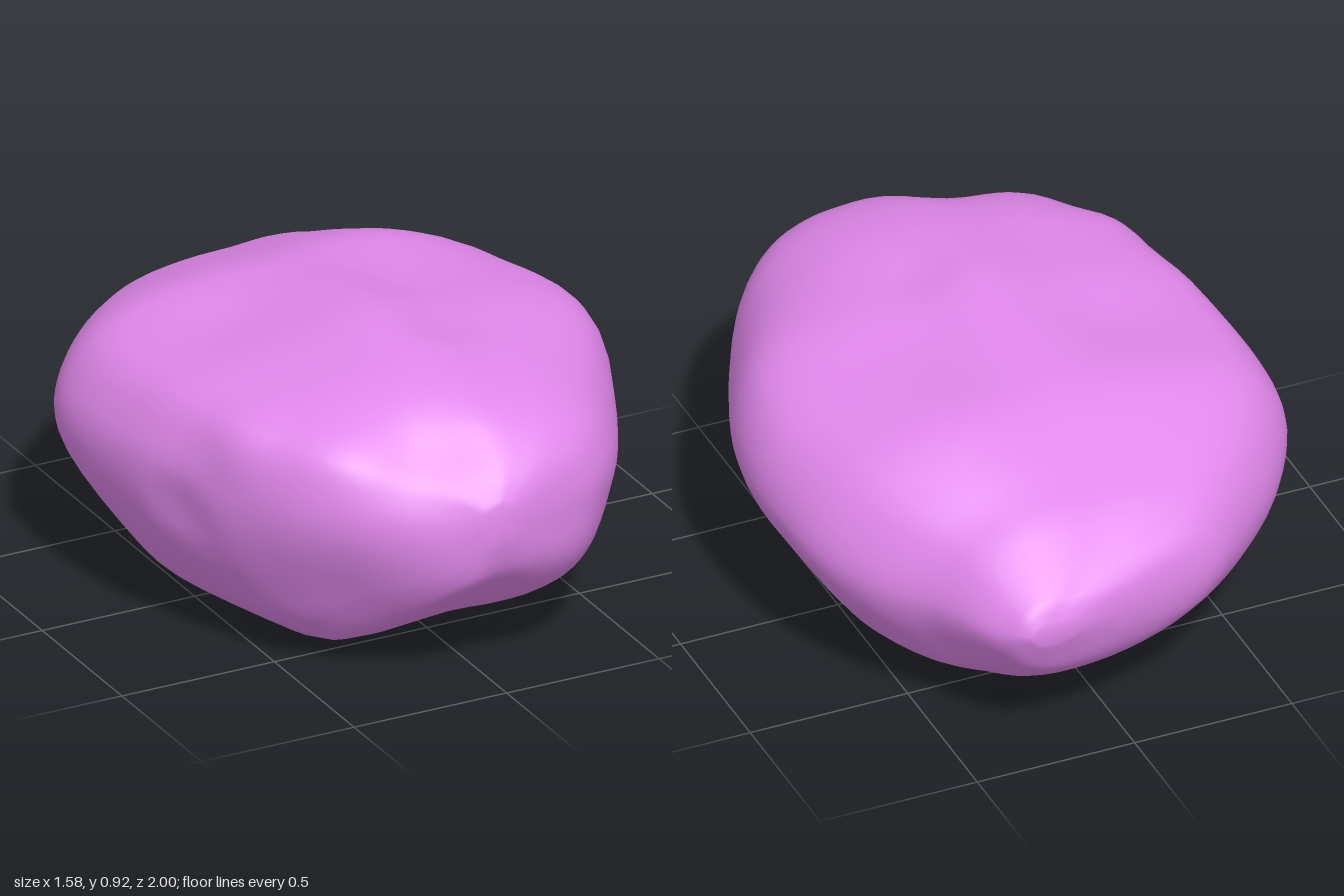
import * as THREE from 'three';

// Stations from back to front: z, left x, right x, bottom y, top y
const STATIONS = [
  [-1, 0.18, 0.32, 0.42, 0.48],
  [-0.975, 0.05, 0.36, 0.36, 0.535],
  [-0.94, -0.10, 0.39, 0.29, 0.57],
  [-0.88, -0.30, 0.43, 0.23, 0.62],
  [-0.78, -0.43, 0.48, 0.155, 0.69],
  [-0.68, -0.54, 0.535, 0.105, 0.735],
  [-0.55, -0.66, 0.64, 0.06, 0.79],
  [-0.38, -0.76, 0.73, 0.037, 0.85],
  [-0.2, -0.79, 0.77, 0.02, 0.875],
  [0, -0.78, 0.785, 0.006, 0.90],
  [0.2, -0.75, 0.75, 0.004, 0.92],
  [0.4, -0.68, 0.67, 0.03, 0.905],
  [0.55, -0.61, 0.60, 0.05, 0.885],
  [0.7, -0.53, 0.52, 0.12, 0.855],
  [0.82, -0.42, 0.43, 0.21, 0.81],
  [0.91, -0.28, 0.32, 0.30, 0.74],
  [0.97, -0.14, 0.16, 0.38, 0.67],
  [1, -0.06, 0.04, 0.49, 0.60],
];

// Normalised outlines, from the left side over the top to the right and under
const BACK = [[-1, 0.15], [-0.95, 0.45], [-0.83, 0.7], [-0.66, 0.84], [-0.34, 0.94], [0, 0.97], [0.27, 1],
  [0.52, 0.95], [0.78, 0.74], [0.92, 0.46], [1, 0.1], [0.96, -0.2], [0.84, -0.52], [0.72, -0.76],
  [0.55, -0.92], [0.3, -1], [-0.1, -0.95], [-0.5, -0.75], [-0.72, -0.55], [-0.84, -0.4], [-0.96, -0.13]];
const MIDDLE = [[-1, 0.2], [-0.95, 0.44], [-0.85, 0.66], [-0.66, 0.77], [-0.34, 0.87], [-0.02, 1], [0.25, 0.88],
  [0.52, 0.86], [0.78, 0.75], [0.92, 0.58], [1, 0.2], [0.95, -0.1], [0.78, -0.5], [0.7, -0.8],
  [0.56, -0.96], [0.3, -1], [-0.05, -0.97], [-0.56, -0.95], [-0.76, -0.77], [-0.86, -0.55], [-0.97, -0.17]];
const FRONT = [[-1, 0.15], [-0.96, 0.45], [-0.87, 0.68], [-0.68, 0.82], [-0.34, 0.93], [-0.02, 1], [0.27, 0.94],
  [0.54, 0.86], [0.78, 0.7], [0.92, 0.48], [1, 0.15], [0.95, -0.18], [0.85, -0.5], [0.72, -0.7],
  [0.55, -0.83], [0.3, -0.92], [-0.05, -0.93], [-0.54, -1], [-0.75, -0.8], [-0.86, -0.55], [-0.97, -0.15]];

// Dents and (negative depth) bumps: x, y, z, radius, depth
const DENTS = [
  [0.70, 0.30, -0.14, 0.1, 0.01],
  [-0.35, 0.85, -0.1, 0.13, 0.015],
  [0.10, 0.90, 0.3, 0.1, 0.015],
  [-0.70, 0.45, 0.3, 0.09, 0.025],
  [0.02, 0.04, 0.45, 0.1, 0.02],
  [-0.20, 0.76, 0.9, 0.2, 0.07],
  [-0.60, 0.72, 0.47, 0.12, -0.03],
  [-0.35, 0.25, 0.75, 0.2, 0.04],
  [0.25, 0.28, 0.82, 0.18, -0.03],
  [-0.60, 0.12, 0.25, 0.15, 0.02],
];

const AROUND = 63;
const SUBSTEPS = 3;

function outline(points) {
  const curve = new THREE.CatmullRomCurve3(points.map(([x, y]) => new THREE.Vector3(x, y, 0)), true);
  return Array.from({ length: AROUND }, (_, j) => curve.getPoint(j / AROUND));
}

function station(t) {
  const i = Math.min(Math.floor(t), STATIONS.length - 2);
  const at = (k) => STATIONS[THREE.MathUtils.clamp(k, 0, STATIONS.length - 1)];
  const f = t - i;
  return at(i).map((p1, c) => {
    const p0 = at(i - 1)[c], p2 = at(i + 1)[c], p3 = at(i + 2)[c];
    return p1 + 0.5 * f * (p2 - p0 + f * (2 * p0 - 5 * p1 + 4 * p2 - p3 + f * (3 * (p1 - p2) + p3 - p0)));
  });
}

function stoneGeometry() {
  const back = outline(BACK), middle = outline(MIDDLE), front = outline(FRONT);
  const rows = (STATIONS.length - 1) * SUBSTEPS + 1;
  const positions = [], index = [];
  const centre = new THREE.Vector3(0, 0.46, 0);

  // Rings of the stone, blending the three outlines along z
  for (let i = 0; i < rows; i++) {
    const [z, x0, x1, y0, y1] = station(i / SUBSTEPS);
    const toMiddle = THREE.MathUtils.smoothstep(z, -0.5, 0.05);
    const toFront = THREE.MathUtils.smoothstep(z, 0.2, 0.6);
    for (let j = 0; j < AROUND; j++) {
      const s = back[j].clone().lerp(middle[j], toMiddle).lerp(front[j], toFront);
      const p = new THREE.Vector3((x0 + x1 + s.x * (x1 - x0)) / 2, (y0 + y1 + s.y * (y1 - y0)) / 2, z);
      const inward = centre.clone().sub(p).normalize();
      for (const [dx, dy, dz, r, depth] of DENTS) {
        const d2 = (p.x - dx) ** 2 + (p.y - dy) ** 2 + (p.z - dz) ** 2;
        p.addScaledVector(inward, depth * Math.exp(-d2 / (r * r)));
      }
      positions.push(p.x, Math.max(p.y, 0), p.z);
    }
  }
  for (let i = 0; i < rows - 1; i++) {
    for (let j = 0; j < AROUND; j++) {
      const k = (j + 1) % AROUND;
      const a = i * AROUND + j, b = i * AROUND + k, c = a + AROUND, d = b + AROUND;
      index.push(a, c, b, b, c, d);
    }
  }

  // Close both ends with a fan around the mean of the end ring
  for (const end of [0, rows - 1]) {
    const pole = positions.length / 3;
    const mean = new THREE.Vector3();
    for (let j = 0; j < AROUND; j++) {
      const a = end * AROUND + j, b = end * AROUND + (j + 1) % AROUND;
      mean.add(new THREE.Vector3().fromArray(positions, a * 3));
      if (end === 0) index.push(pole, a, b);
      else index.push(pole, b, a);
    }
    positions.push(...mean.divideScalar(AROUND).toArray());
  }

  const geometry = new THREE.BufferGeometry();
  geometry.setAttribute('position', new THREE.Float32BufferAttribute(positions, 3));
  geometry.setIndex(index);
  geometry.computeVertexNormals();
  return geometry;
}

export function createModel() {
  const group = new THREE.Group();
  group.name = 'rock';
  const stone = new THREE.Mesh(stoneGeometry(), new THREE.MeshStandardMaterial({ color: 0xe087ea }));
  stone.name = 'stone';
  group.add(stone);
  return group;
}
